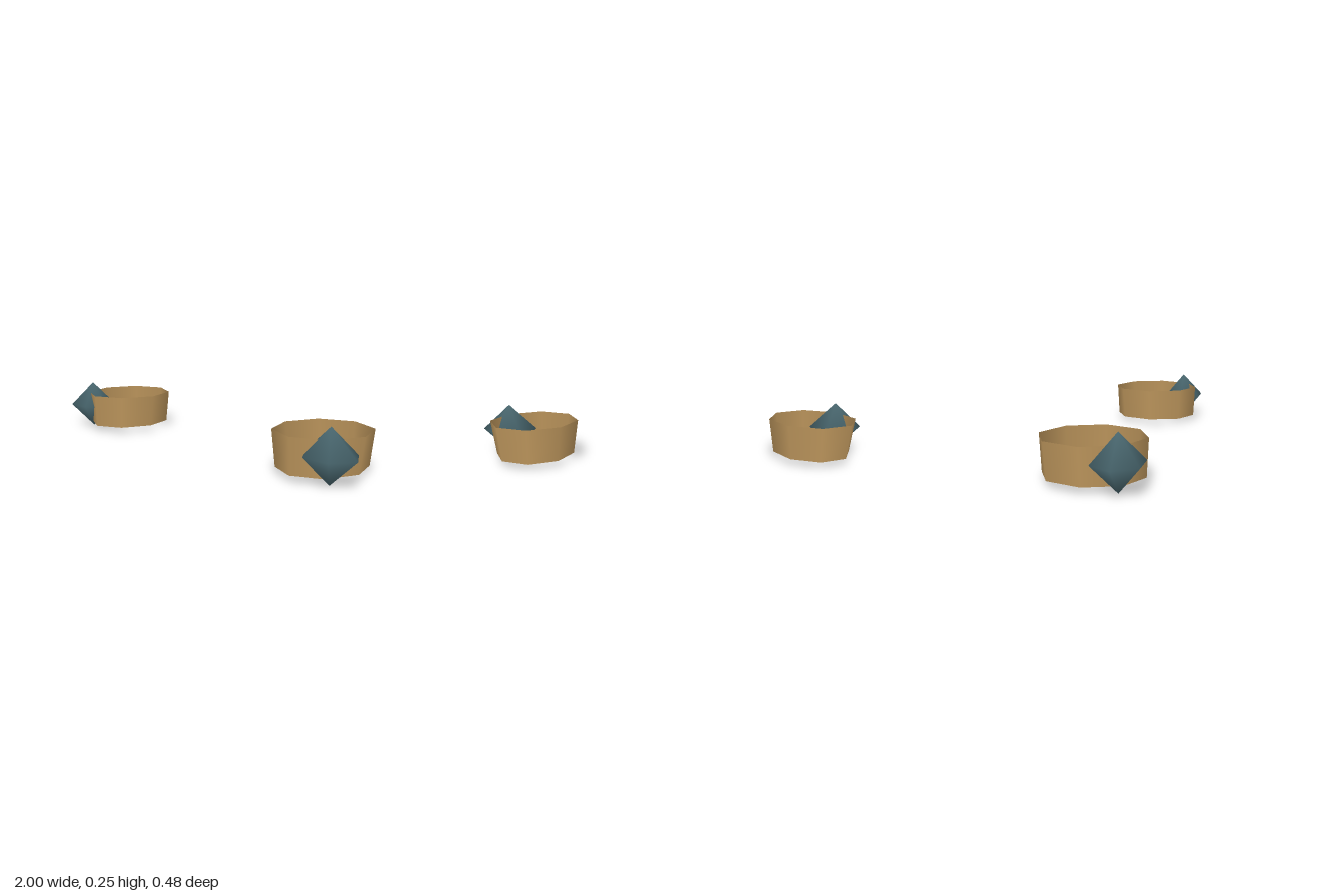
import * as THREE from 'three';

const bronze = new THREE.MeshStandardMaterial({ color: 0xb8925a, side: THREE.DoubleSide });
bronze.name = 'bronze';
const slate = new THREE.MeshStandardMaterial({ color: 0x4a6870 });
slate.name = 'slate gem';

// Open eight-sided band, wider at the top, tapering more across x than z
function bandGeometry() {
  const geo = new THREE.CylinderGeometry(1, 1, 0.17, 8, 1, true);
  const pos = geo.attributes.position;
  for (let i = 0; i < pos.count; i++) {
    const top = pos.getY(i) > 0;
    pos.setX(i, pos.getX(i) * (top ? 0.223 : 0.197));
    pos.setZ(i, pos.getZ(i) * (top ? 0.237 : 0.228));
  }
  return geo;
}

// Six-sided double pyramid with soft shading
function gemGeometry() {
  return new THREE.SphereGeometry(1, 6, 2).scale(0.137, 0.126, 0.118);
}

export function createModel() {
  const model = new THREE.Group();
  model.name = 'bracelets';
  const bandGeo = bandGeometry();
  const gemGeo = gemGeometry();

  // One bracelet on each side, gem on the outer front
  for (const [name, side] of [['left', 1], ['right', -1]]) {
    const bracelet = new THREE.Group();
    bracelet.name = name + 'Bracelet';

    const band = new THREE.Mesh(bandGeo, bronze);
    band.name = name + 'Band';
    band.position.set(side * 0.709, 0.115, -0.005);

    const gem = new THREE.Mesh(gemGeo, slate);
    gem.name = name + 'Gem';
    gem.position.set(side * 0.863, 0.128, 0.14);

    bracelet.add(band, gem);
    model.add(bracelet);
  }
  return model;
}
